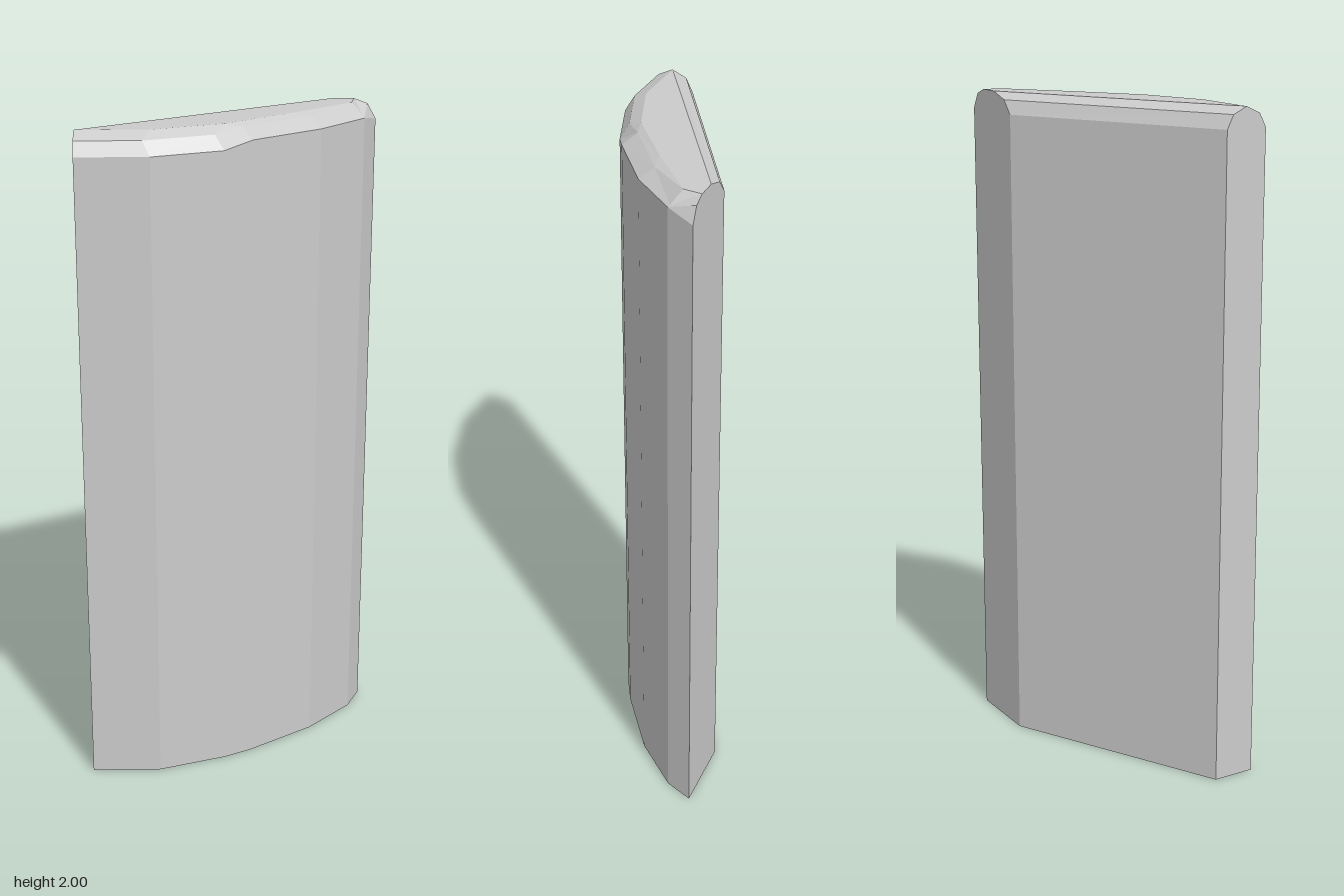
import * as THREE from 'three';

// Cross-sections from the ground up; each point is [x, z, y].
const footprint = [
  [-0.43, 0.10], [0.20, -0.23], [0.43, -0.23], [0.39, -0.145], [0.256, -0.01],
  [0.06, 0.12], [-0.02, 0.16], [-0.222, 0.228], [-0.43, 0.228],
];
const shoulderY = [1.94, 1.94, 1.94, 1.96, 1.96, 1.96, 1.94, 1.94, 1.94];
const bevel = [
  [-0.43, 0.12, 1.98], [0.236, -0.23, 1.98], [0.405, -0.23, 1.985], [0.386, -0.15, 1.965], [0.23, -0.046, 1.99],
  [0.03, 0.084, 1.99], [-0.045, 0.14, 1.98], [-0.243, 0.207, 1.98], [-0.43, 0.207, 1.98],
];
const crown = [
  [-0.43, 0.163], [0.30, -0.23], [0.365, -0.23], [0.355, -0.175], [0.175, -0.037],
  [-0.02, 0.095], [-0.03, 0.098], [-0.222, 0.163], [-0.43, 0.163],
];

// Joins the rings with flat faces and closes both ends.
function loft(rings) {
  const positions = [];
  const tri = (...points) => points.forEach(([x, z, y]) => positions.push(x, y, z));
  const n = rings[0].length;
  for (let r = 0; r < rings.length - 1; r++) {
    const lower = rings[r], upper = rings[r + 1];
    for (let i = 0; i < n; i++) {
      const j = (i + 1) % n;
      tri(lower[j], lower[i], upper[i]);
      tri(lower[j], upper[i], upper[j]);
    }
  }
  const bottom = rings[0], top = rings[rings.length - 1];
  for (let i = 1; i < n - 1; i++) {
    tri(bottom[0], bottom[i], bottom[i + 1]);
    tri(top[0], top[i + 1], top[i]);
  }
  const geometry = new THREE.BufferGeometry();
  geometry.setAttribute('position', new THREE.Float32BufferAttribute(positions, 3));
  geometry.computeVertexNormals();
  return geometry;
}

export function createModel() {
  const group = new THREE.Group();
  group.name = 'bevelledPillar';

  // Faceted upright slab with a rounded-over top; the two cut ends stay flat
  const slab = new THREE.Mesh(
    loft([
      footprint.map(([x, z]) => [x, z, 0]),
      footprint.map(([x, z], i) => [x, z, shoulderY[i]]),
      bevel,
      crown.map(([x, z]) => [x, z, 2]),
    ]),
    new THREE.MeshStandardMaterial({ color: 0xcccccc, flatShading: true }),
  );
  slab.name = 'slab';
  group.add(slab);
  return group;
}
